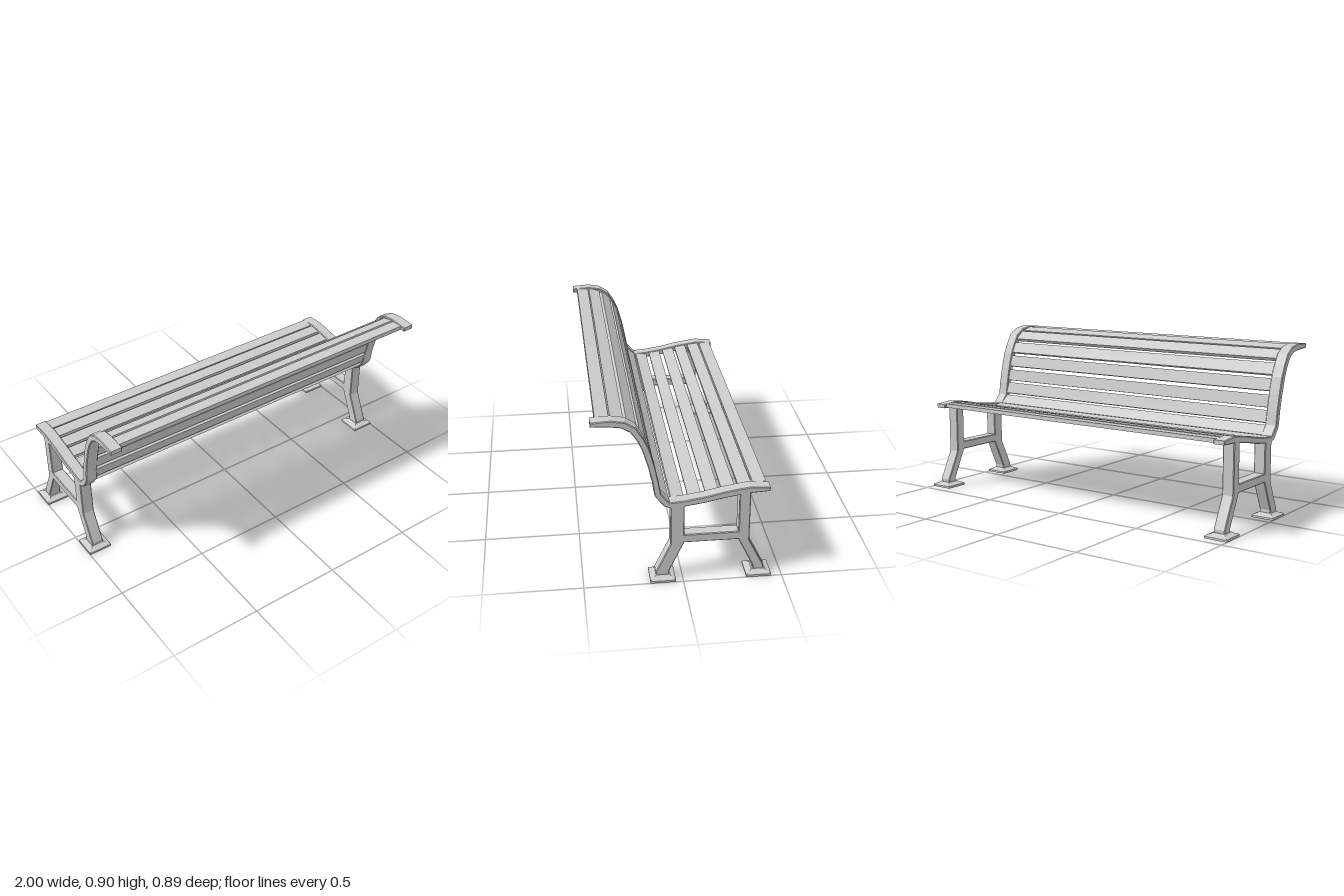
import * as THREE from 'three';

const material = new THREE.MeshStandardMaterial({ color: 0xcccccc, flatShading: true });
const points = (list) => list.map(([a, b]) => new THREE.Vector2(a, b));

// End frame profile as [z, y]: sitting side of the rail, then underside and legs
const RAIL_TOP = [
  [0.443, 0.896], [0.347, 0.902], [0.278, 0.89], [0.227, 0.857], [0.192, 0.8], [0.165, 0.74],
  [0.14, 0.65], [0.121, 0.56], [0.11, 0.492], [0.067, 0.442], [0, 0.447], [-0.105, 0.463],
  [-0.2, 0.484], [-0.28, 0.497], [-0.33, 0.504], [-0.43, 0.497],
];
const LEGS = [
  [-0.43, 0.475], [-0.334, 0.47], [-0.334, 0.202], [-0.412, 0.045], [-0.412, 0.02],
  [-0.357, 0.02], [-0.357, 0.045], [-0.278, 0.209], [-0.006, 0.209], [0.069, 0.045],
  [0.069, 0.02], [0.136, 0.02], [0.136, 0.045], [0.062, 0.204],
];
const RAIL_UNDER = [
  [0.062, 0.409], [0.095, 0.424], [0.135, 0.475], [0.143, 0.495], [0.152, 0.56], [0.172, 0.645],
  [0.199, 0.735], [0.222, 0.787], [0.254, 0.835], [0.297, 0.861], [0.349, 0.868], [0.443, 0.873],
];
const OPENING = [
  [-0.006, 0.255], [-0.278, 0.255], [-0.278, 0.463], [-0.2, 0.45], [-0.105, 0.43], [-0.006, 0.415],
];

function frameGeometry() {
  const shape = new THREE.Shape(points([...RAIL_TOP, ...LEGS, ...RAIL_UNDER]));
  shape.holes.push(new THREE.Path(points(OPENING)));
  const bevel = 0.004, width = 0.065;
  const geo = new THREE.ExtrudeGeometry(shape, {
    depth: width - 2 * bevel, bevelThickness: bevel, bevelSize: bevel, bevelOffset: -bevel, bevelSegments: 1,
  });
  geo.translate(0, 0, -(width / 2 - bevel));
  return geo.rotateY(-Math.PI / 2);
}

// Square stepped foot, hollow underneath
function footGeometry() {
  const profile = points([
    [0, 0.016], [0.03, 0.016], [0.058, 0], [0.064, 0], [0.064, 0.011], [0.058, 0.016],
    [0.042, 0.021], [0.034, 0.028], [0, 0.028],
  ]).map((p) => new THREE.Vector2(p.x * Math.SQRT2, p.y));
  return new THREE.LatheGeometry(profile, 4, Math.PI / 4);
}

// Slat centres as [z, y], from the seat's front edge up over the backrest
const SLATS = [
  [-0.385, 0.488], [-0.31, 0.484], [-0.228, 0.472], [-0.149, 0.456], [-0.062, 0.44], [0.025, 0.43],
  [0.1, 0.458], [0.134, 0.53], [0.15, 0.61], [0.17, 0.695], [0.199, 0.775], [0.25, 0.845],
  [0.317, 0.878], [0.386, 0.884],
];

export function createModel() {
  const bench = new THREE.Group();
  bench.name = 'bench';
  const add = (geo, name, x, y, z) => {
    const mesh = new THREE.Mesh(geo, material);
    mesh.name = name;
    mesh.position.set(x, y, z);
    bench.add(mesh);
    return mesh;
  };

  // Two end frames, each on two feet
  const frame = frameGeometry(), foot = footGeometry();
  for (const [side, label] of [[1, 'left'], [-1, 'right']]) {
    const x = side * 0.936;
    add(frame, label + 'Frame', x, 0, 0);
    add(foot, label + 'BackrestSideFoot', x, 0, 0.102);
    add(foot, label + 'SeatSideFoot', x, 0, -0.383);
  }

  // Slats, each tilted along the line through its neighbours
  const slat = new THREE.BoxGeometry(1.82, 0.022, 0.067);
  SLATS.forEach(([z, y], i) => {
    const a = SLATS[Math.max(i - 1, 0)], b = SLATS[Math.min(i + 1, SLATS.length - 1)];
    const mesh = add(slat, i < 6 ? 'seatSlat' : 'backrestSlat', 0, y, z);
    mesh.rotation.x = -Math.atan2(b[1] - a[1], b[0] - a[0]);
  });
  return bench;
}
